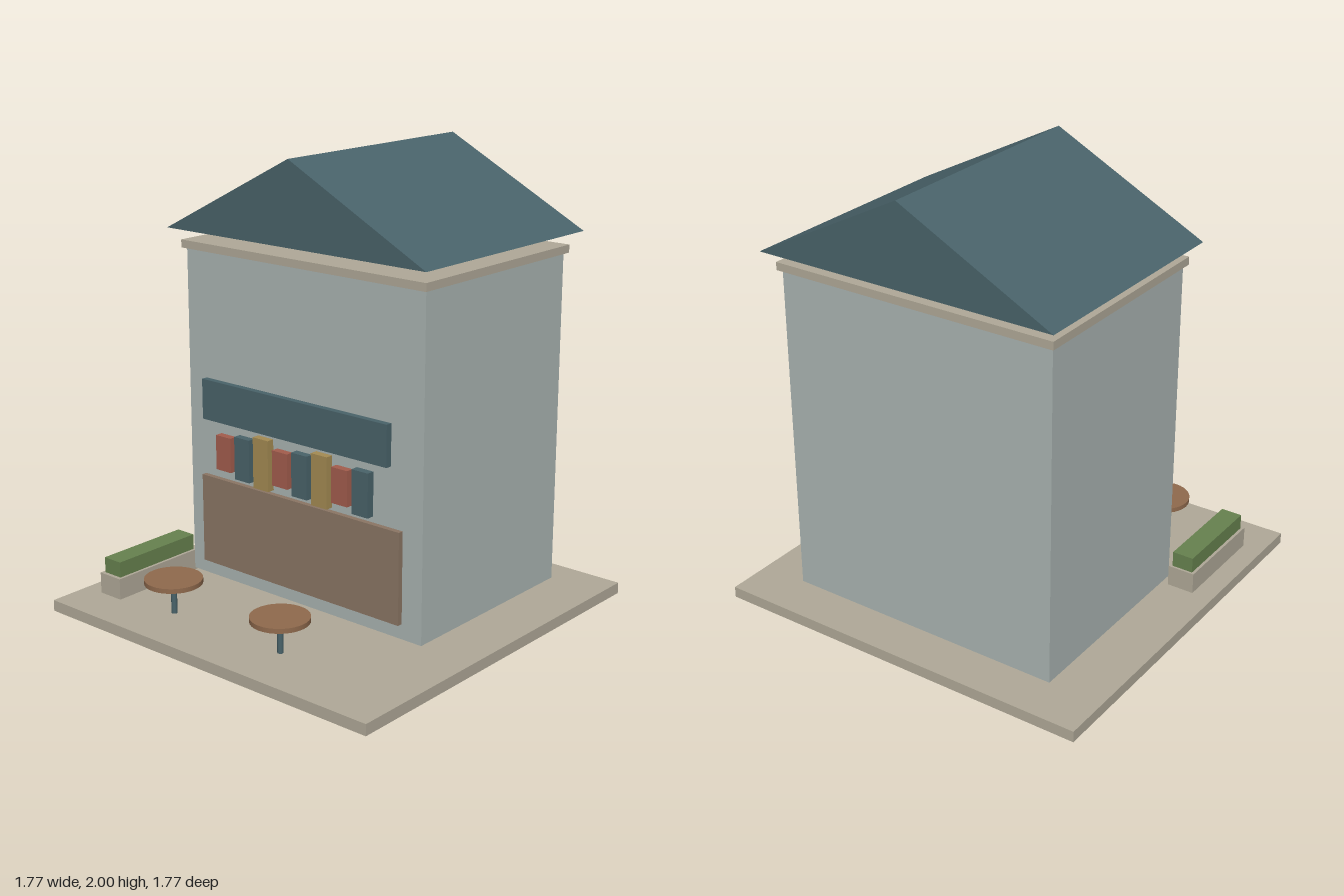
import * as THREE from 'three';

const material = (name, color) => {
  const m = new THREE.MeshStandardMaterial({ color });
  m.name = name;
  return m;
};

export function createModel() {
  const stone = material('stone', 0xb0a998);
  const wall = material('pale wall', 0xaab4b2);
  const slate = material('slate blue', 0x49636a);
  const panelWood = material('panel wood', 0x8b7664);
  const tableWood = material('table wood', 0x906a4d);
  const leaf = material('leaf green', 0x67824f);
  const red = material('brick red', 0xa35d4d);
  const gold = material('ochre', 0xa48b53);

  const group = new THREE.Group();
  group.name = 'cafe';

  const add = (name, geometry, mat, x = 0, y = 0, z = 0, parent = group) => {
    const mesh = new THREE.Mesh(geometry, mat);
    mesh.name = name;
    mesh.position.set(x, y, z);
    parent.add(mesh);
    return mesh;
  };
  // Box given by its extents on each axis
  const box = (name, mat, [x0, x1], [y0, y1], [z0, z1], parent = group) =>
    add(name, new THREE.BoxGeometry(x1 - x0, y1 - y0, z1 - z0), mat,
      (x0 + x1) / 2, (y0 + y1) / 2, (z0 + z1) / 2, parent);

  // Paved base, building body and cornice
  box('base', stone, [-0.885, 0.885], [0, 0.05], [-0.885, 0.885]);
  box('walls', wall, [-0.65, 0.65], [0.07, 1.55], [-0.7, 0.25]);
  box('cornice', stone, [-0.665, 0.665], [1.55, 1.585], [-0.72, 0.27]);

  // Gable roof, floating just above the cornice
  const gable = new THREE.Shape([
    new THREE.Vector2(-0.7, 1.64),
    new THREE.Vector2(0.7, 1.64),
    new THREE.Vector2(0, 2),
  ]);
  add('roof', new THREE.ExtrudeGeometry(gable, { depth: 1.09, bevelEnabled: false }),
    slate, 0, 0, -0.773);

  // Shopfront panel and sign board
  box('shopfront', panelWood, [-0.555, 0.555], [0.142, 0.547], [0.259, 0.283]);
  box('signBoard', slate, [-0.513, 0.513], [0.82, 1], [0.285, 0.314]);

  // Row of hanging banners, repeating red, blue and ochre
  const banners = new THREE.Group();
  banners.name = 'banners';
  group.add(banners);
  const kinds = [[red, 0.608, 0.764], [slate, 0.586, 0.778], [gold, 0.572, 0.799]];
  for (let i = 0; i < 8; i++) {
    const [mat, y0, y1] = kinds[i % 3];
    const x = -0.387 + i * 0.1095;
    box('banner', mat, [x - 0.043, x + 0.043], [y0, y1], [0.285, 0.32], banners);
  }

  // Round tables on slim posts
  for (const x of [-0.388, 0.227]) {
    const table = new THREE.Group();
    table.name = 'table';
    table.position.set(x, 0, 0.635);
    group.add(table);
    add('tabletop', new THREE.CylinderGeometry(0.126, 0.126, 0.021, 32), tableWood, 0, 0.2, 0, table);
    add('tablePost', new THREE.CylinderGeometry(0.013, 0.013, 0.14, 16), slate, 0, 0.12, 0, table);
  }

  // Planter with a clipped hedge
  box('planter', stone, [-0.79, -0.667], [0.05, 0.145], [0.217, 0.693]);
  box('hedge', leaf, [-0.777, -0.68], [0.145, 0.215], [0.228, 0.676]);

  return group;
}
